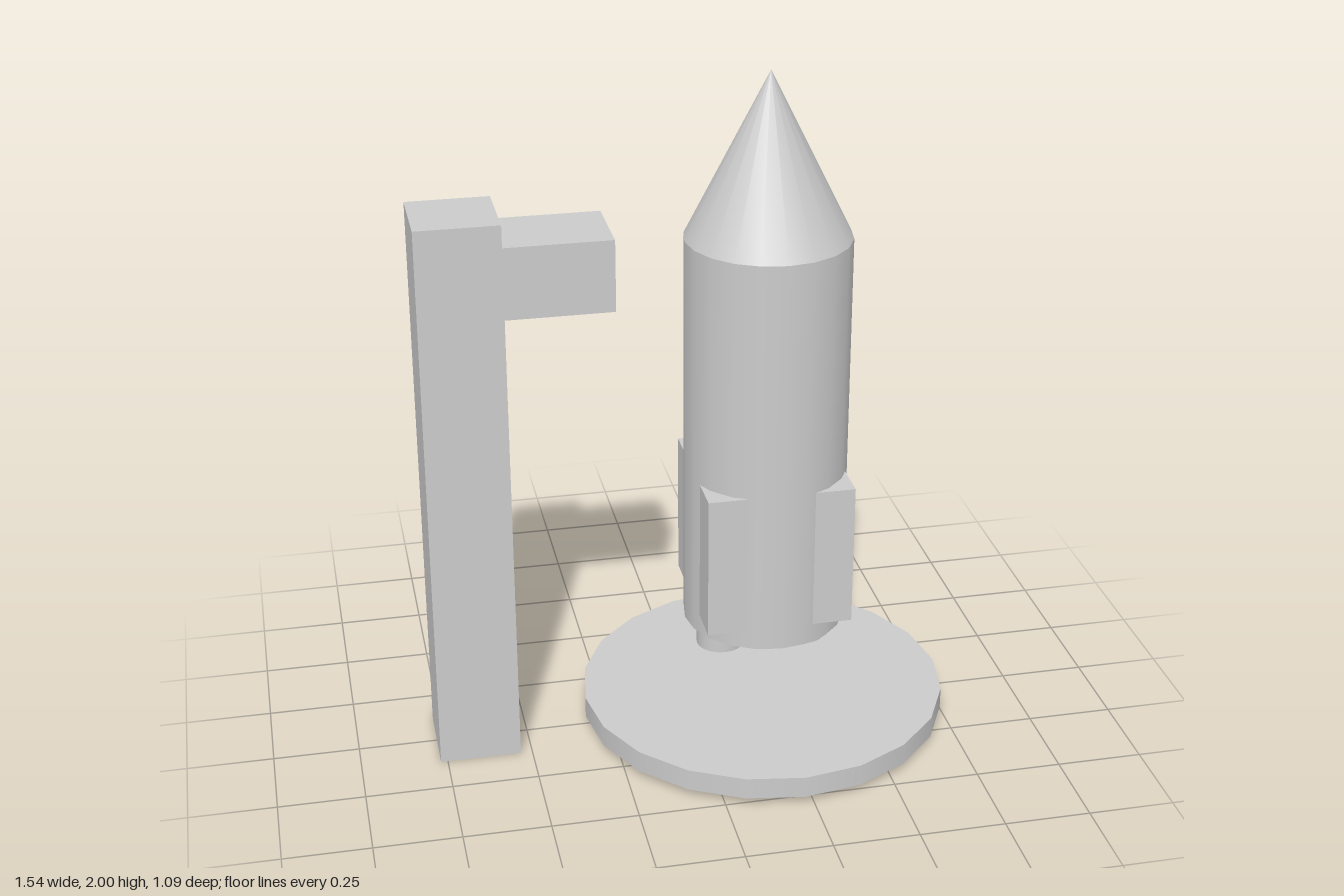
import * as THREE from 'three';

const material = new THREE.MeshStandardMaterial({ color: 0xcccccc });
const SIDES = 20;
const ROCKET_X = 0.223;

function add(parent, name, geometry, x, y, z = 0) {
  const mesh = new THREE.Mesh(geometry, material);
  mesh.name = name;
  mesh.position.set(x, y, z);
  parent.add(mesh);
}

// Box given by its x and y ranges, centred on z = 0
function addBox(parent, name, x0, x1, y0, y1, depth) {
  add(parent, name, new THREE.BoxGeometry(x1 - x0, y1 - y0, depth), (x0 + x1) / 2, (y0 + y1) / 2);
}

// Upright cylinder given by its radius and y range
function addCylinder(parent, name, radius, y0, y1, x) {
  add(parent, name, new THREE.CylinderGeometry(radius, radius, y1 - y0, SIDES), x, (y0 + y1) / 2);
}

export function createModel() {
  const model = new THREE.Group();
  model.name = 'rocketOnLaunchPad';

  // Launch pad
  addCylinder(model, 'launchPad', 0.543, 0.025, 0.09, ROCKET_X);

  // Rocket: body, pointed nose, square fin block whose corners poke out, two engines
  const rocket = new THREE.Group();
  rocket.name = 'rocket';
  rocket.position.x = ROCKET_X;
  model.add(rocket);
  addCylinder(rocket, 'body', 0.238, 0.335, 1.525, 0);
  add(rocket, 'noseCone', new THREE.ConeGeometry(0.238, 0.475, SIDES), 0, 1.7625);
  addBox(rocket, 'finBlock', -0.214, 0.214, 0.392, 0.82, 0.428);
  addCylinder(rocket, 'rightEngine', 0.071, 0.24, 0.36, -0.13);
  addCylinder(rocket, 'leftEngine', 0.071, 0.24, 0.36, 0.119);

  // Service tower with its arm
  const tower = new THREE.Group();
  tower.name = 'serviceTower';
  model.add(tower);
  addBox(tower, 'mast', -0.77, -0.534, 0, 1.655, 0.236);
  addBox(tower, 'arm', -0.56, -0.229, 1.382, 1.59, 0.235);

  return model;
}
